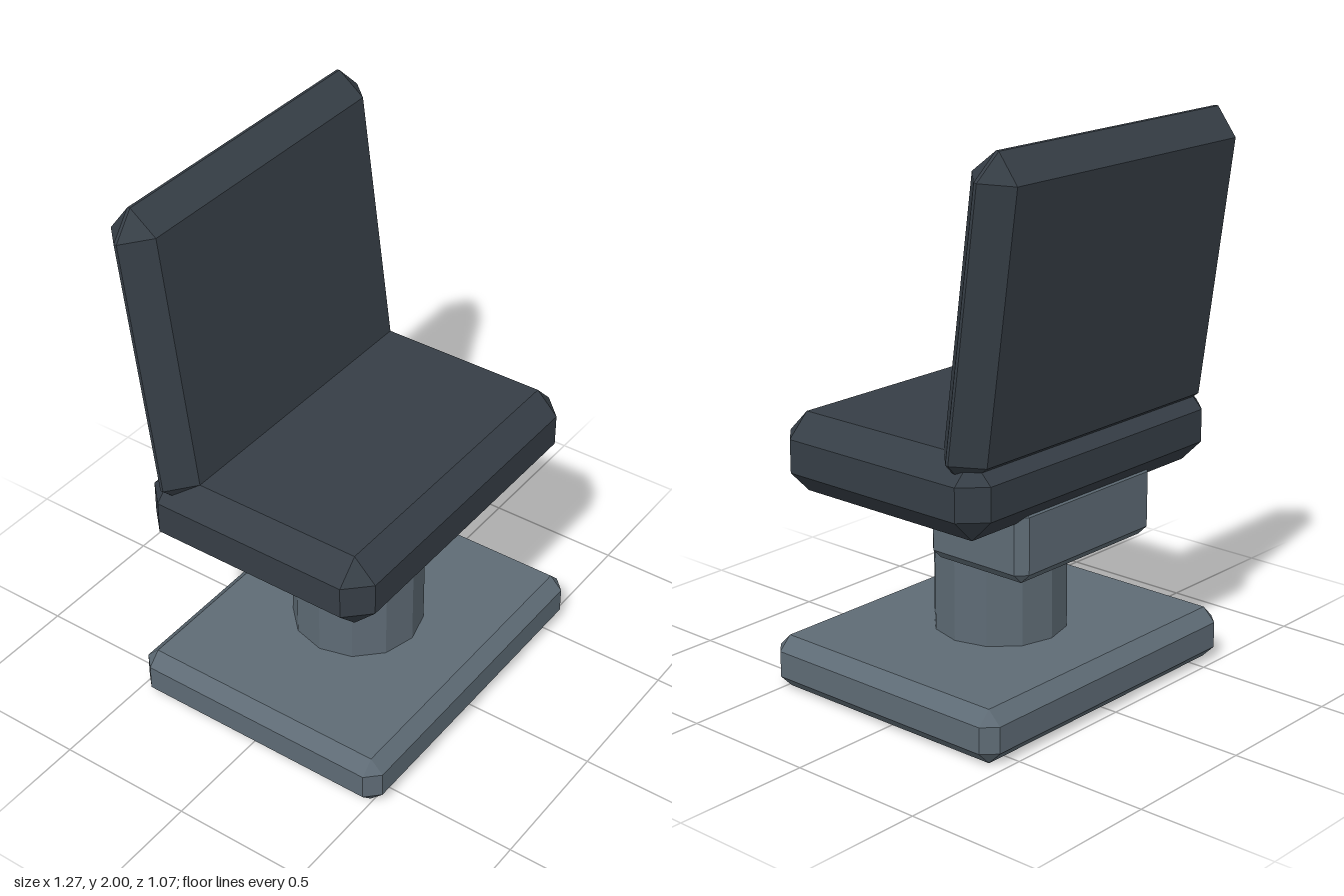
import * as THREE from 'three';
import { ConvexGeometry } from 'three/addons/geometries/ConvexGeometry.js';

const padding = new THREE.MeshStandardMaterial({ color: 0x363e46, flatShading: true });
const metal = new THREE.MeshStandardMaterial({ color: 0x5e6b75, flatShading: true });

// Box whose edges and corners are all cut by a flat bevel
function bevelledBox(width, height, depth, bevel) {
  const half = [width / 2, height / 2, depth / 2];
  const points = [];
  for (const sx of [-1, 1]) for (const sy of [-1, 1]) for (const sz of [-1, 1]) {
    for (let outer = 0; outer < 3; outer++) {
      const [x, y, z] = half.map((h, axis) => (axis === outer ? h : h - bevel));
      points.push(new THREE.Vector3(sx * x, sy * y, sz * z));
    }
  }
  return new ConvexGeometry(points);
}

export function createModel() {
  const chair = new THREE.Group();
  chair.name = 'pedestalChair';

  function add(name, geometry, material, x, y, z) {
    const mesh = new THREE.Mesh(geometry, material);
    mesh.name = name;
    mesh.position.set(x, y, z);
    chair.add(mesh);
    return mesh;
  }

  // Floor plate and twelve-sided column
  add('basePlate', bevelledBox(1.25, 0.19, 1.02, 0.048), metal, -0.003, 0.095, 0.027);
  add('column', new THREE.CylinderGeometry(0.237, 0.237, 0.68, 12), metal, -0.003, 0.48, 0.026);

  // Mechanism housing under the rear of the seat
  add('seatBracket', bevelledBox(0.692, 0.27, 0.43, 0.035), metal, -0.003, 0.655, -0.16);

  // Cushion and reclined backrest
  add('seat', bevelledBox(1.262, 0.28, 0.905, 0.081), padding, 0, 0.875, 0.028);
  const back = add('backrest', bevelledBox(1.274, 1.092, 0.185, 0.087), padding, 0, 1.457, -0.379);
  back.rotation.x = -0.136;

  return chair;
}
